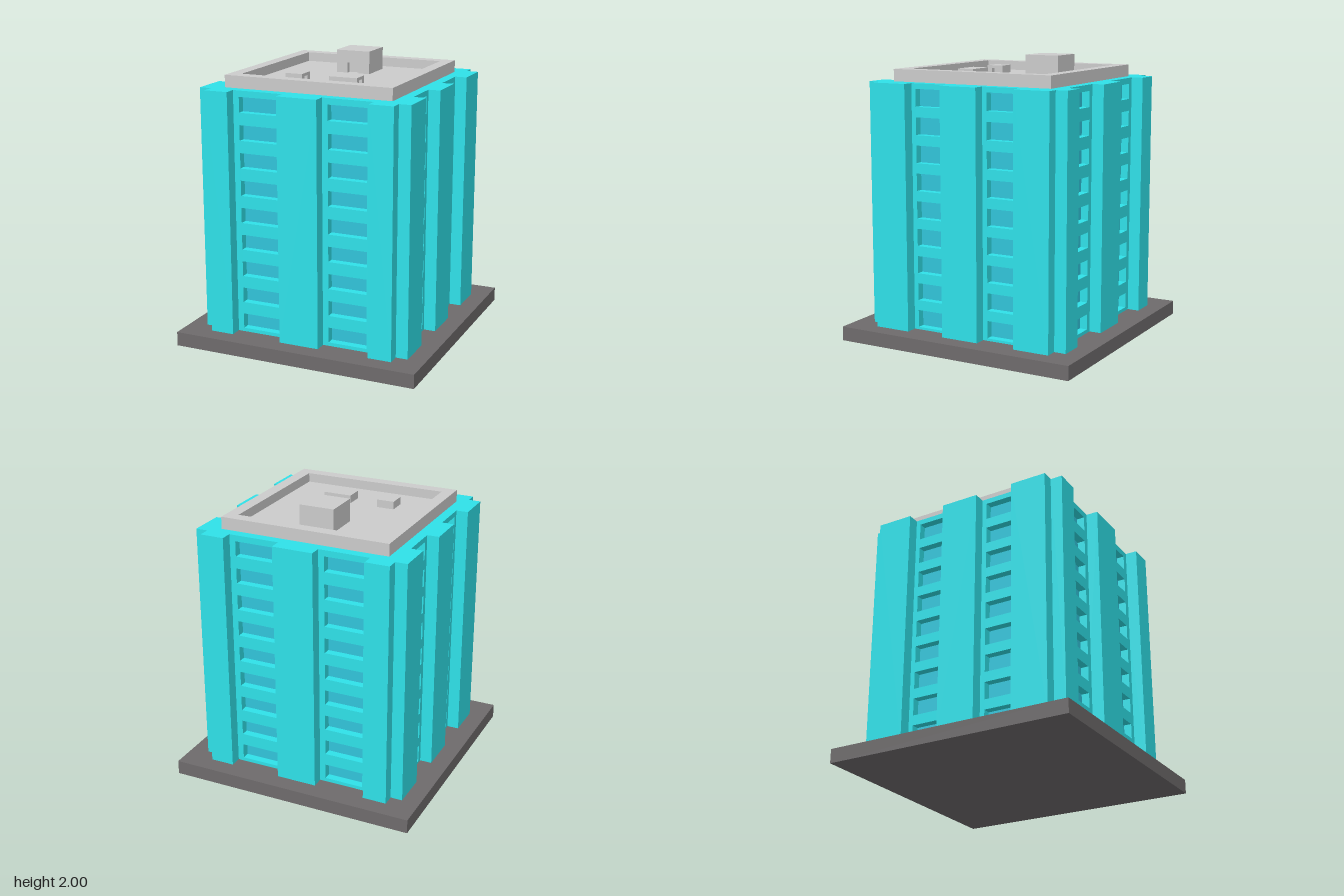
import * as THREE from 'three';

const mat = (color) => new THREE.MeshStandardMaterial({ color, flatShading: true });
const WALL = mat(0x2fe1e9), GLASS = mat(0x31c4da), ROOF = mat(0xcccccc), GROUND = mat(0x6e6b6c);

const Y0 = 0.1, Y1 = 1.82;            // tower bottom and top
const CORE = 0.625, FACE = 0.68, OUT = 0.765; // glass plane, wall plane, pier plane
const FLOORS = 9, PITCH = 0.193;
const ROOF_Y = 1.84;

export function createModel() {
  const model = new THREE.Group();

  const add = (parent, name, geometry, material) => {
    const mesh = new THREE.Mesh(geometry, material);
    mesh.name = name;
    parent.add(mesh);
    return mesh;
  };
  // box given by its two extreme corners
  const block = (parent, name, material, [x0, y0, z0], [x1, y1, z1]) => {
    const g = new THREE.BoxGeometry(x1 - x0, y1 - y0, z1 - z0);
    g.translate((x0 + x1) / 2, (y0 + y1) / 2, (z0 + z1) / 2);
    return add(parent, name, g, material);
  };
  const polygon = (pts) => new THREE.Shape(pts.map(([x, y]) => new THREE.Vector2(x, y)));
  // rectangle, always counter-clockwise
  const rect = (xa, y0, xb, y1) => {
    const x0 = Math.min(xa, xb), x1 = Math.max(xa, xb);
    return polygon([[x0, y0], [x1, y0], [x1, y1], [x0, y1]]);
  };
  const extrude = (shape, depth) => new THREE.ExtrudeGeometry(shape, { depth, bevelEnabled: false });

  // ground slab, glazed core and its cap
  block(model, 'groundSlab', GROUND, [-0.89, 0, -0.89], [0.89, Y0, 0.89]);
  block(model, 'windowGlass', GLASS, [-CORE, Y0, -CORE], [CORE, 1.8, CORE]);
  block(model, 'towerCap', WALL, [-CORE, 1.8, -CORE], [CORE, Y1, CORE]);

  // four facades: a middle pier and two recessed walls with window openings
  const wide = { a: 0.145, b: 0.51, w0: 0.187, w1: 0.467, y: 0.125, h: 0.108 };
  const narrow = { a: 0.138, b: 0.418, w0: 0.172, w1: 0.385, y: 0.117, h: 0.122 };
  for (let i = 0; i < 4; i++) {
    const f = i % 2 ? narrow : wide;
    const facade = new THREE.Group();
    facade.name = ['frontFacade', 'leftFacade', 'backFacade', 'rightFacade'][i];
    facade.rotation.y = i * Math.PI / 2;
    model.add(facade);

    block(facade, 'middlePier', WALL, [-f.a, Y0, CORE], [f.a, Y1, OUT]);
    for (const s of [-1, 1]) {
      const wall = rect(s * f.a, Y0, s * f.b, Y1);
      for (let k = 0; k < FLOORS; k++) {
        const y = f.y + k * PITCH;
        wall.holes.push(rect(s * f.w0, y, s * f.w1, y + f.h));
      }
      add(facade, 'windowWall', extrude(wall, FACE - CORE), WALL).position.z = CORE;
    }
  }

  // notched corner piers, mirrored to all four corners
  const corner = [
    [wide.b, CORE], [wide.b, OUT], [FACE, OUT], [FACE, FACE],
    [OUT, FACE], [OUT, narrow.b], [CORE, narrow.b], [CORE, CORE],
  ];
  for (const sx of [-1, 1]) for (const sz of [-1, 1]) {
    const g = extrude(polygon(corner.map(([x, z]) => [sx * x, sz * z])), Y1 - Y0);
    g.rotateX(-Math.PI / 2);
    add(model, 'cornerPier', g, WALL).position.y = Y0;
  }

  // parapet frame and sunken roof deck
  const frame = rect(-0.61, -0.61, 0.61, 0.61);
  frame.holes.push(rect(-0.525, -0.525, 0.525, 0.525));
  const parapet = extrude(frame, 1.905 - Y1);
  parapet.rotateX(-Math.PI / 2);
  add(model, 'parapet', parapet, ROOF).position.y = Y1;
  block(model, 'roofDeck', ROOF, [-0.525, Y1, -0.525], [0.525, ROOF_Y, 0.525]);

  // rooftop housing with a doorway in the face turned by angle
  const housing = (name, x, z, w, d, top, doorW, doorH, angle) => {
    const group = new THREE.Group();
    group.name = name;
    group.position.set(x, ROOF_Y, z);
    group.rotation.y = angle;
    model.add(group);
    const h = top - ROOF_Y, depth = 0.04, p = doorW / 2;
    block(group, 'housingBody', ROOF, [-w / 2, 0, -d / 2], [w / 2, h, d / 2 - depth]);
    const front = polygon([
      [-w / 2, 0], [-p, 0], [-p, doorH], [p, doorH], [p, 0], [w / 2, 0], [w / 2, h], [-w / 2, h],
    ]);
    add(group, 'doorway', extrude(front, depth), ROOF).position.z = d / 2 - depth;
  };
  housing('stairHouse', 0, -0.283, 0.252, 0.252, 2, 0.085, 0.072, 0);
  housing('smallVent', -0.233, 0.26, 0.125, 0.125, 1.895, 0.05, 0.035, Math.PI / 2);
  housing('largeVent', 0.135, 0.26, 0.125, 0.205, 1.895, 0.05, 0.035, Math.PI / 2);

  return model;
}
